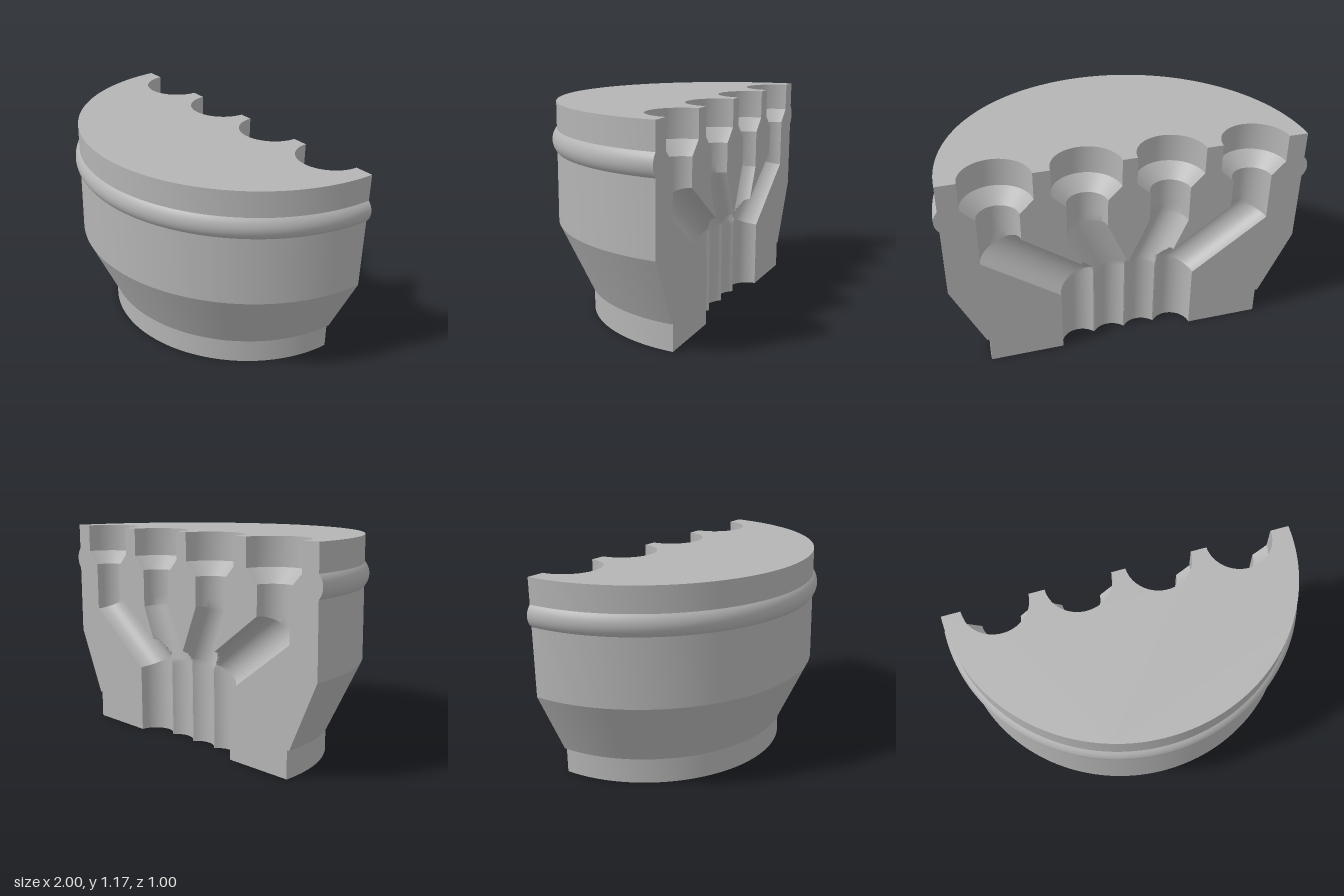
import * as THREE from 'three';
import { toCreasedNormals } from 'three/addons/utils/BufferGeometryUtils.js';

const R = 0.11;          // channel radius
const BORE = 0.185;      // wide socket radius at the top
const TOP = 1.175;
const BACK = -0.5;       // plane of the cut face
const ARC = 28;          // steps around each half channel
const V = (x, y) => new THREE.Vector2(x, y);

// Centre lines of the channels: straight neck, slanted run, straight outlet
const halfPaths = [
  [V(0.685, TOP), V(0.685, 0.73), V(0.267, 0.43), V(0.267, 0)],
  [V(0.225, TOP), V(0.225, 0.76), V(0.089, 0.45), V(0.089, 0)],
];
const mirrorX = (pts) => pts.map((p) => V(-p.x, p.y));
const paths = [...halfPaths, ...halfPaths.map(mirrorX)];

// Mitre direction of travel at a bend
function bend(path, i) {
  const a = path[i].clone().sub(path[i - 1]).normalize();
  const b = path[i + 1].clone().sub(path[i]).normalize();
  const m = a.clone().add(b).normalize();
  return { m, cos: m.dot(a) };
}

// Sideways offset from the centre line to the channel edge at a bend
function edgeOffset(path, i) {
  const { m, cos } = bend(path, i);
  return V(-m.y, m.x).multiplyScalar(R / cos);
}

// Depth of a channel behind the cut face at a point
function depthAt(path, p) {
  let seg = 0;
  for (const i of [1, 2]) if (p.clone().sub(path[i]).dot(bend(path, i).m) > 0) seg = i;
  const d = path[seg + 1].clone().sub(path[seg]).normalize();
  const off = p.clone().sub(path[seg]).cross(d);
  return Math.sqrt(Math.max(0, R * R - off * off));
}

// Half-round channel wall, trimmed where it runs into its neighbours
function channelGeometry(path) {
  const flat = (r) => V(r, 0);
  const cx = path[0].x;
  const keys = [
    { c: path[0], w: flat(BORE), r: BORE, n: 1 },
    { c: V(cx, 1.02), w: flat(BORE), r: BORE, n: 1 },
    { c: V(cx, 0.945), w: flat(R), r: R, n: 4 },
    { c: path[1], w: edgeOffset(path, 1), r: R, n: 40 },
    { c: path[2], w: edgeOffset(path, 2), r: R, n: 24 },
    { c: path[3], w: flat(R), r: R, n: 0 },
  ];
  const rows = [];
  keys.forEach((k, i) => {
    const next = keys[i + 1] || k;
    for (let s = 0; s < Math.max(1, k.n); s++) {
      const t = k.n ? s / k.n : 0;
      rows.push({
        c: k.c.clone().lerp(next.c, t),
        w: k.w.clone().lerp(next.w, t),
        r: k.r + (next.r - k.r) * t,
      });
    }
  });
  const others = paths.filter((q) => q !== path);
  const pos = [], buried = [], index = [];
  for (const { c, w, r } of rows) {
    for (let j = 0; j <= ARC; j++) {
      const a = (Math.PI * j) / ARC;
      const p = c.clone().addScaledVector(w, Math.cos(a));
      const own = r * Math.sin(a);
      const other = c.y < 0.9 ? Math.max(...others.map((q) => depthAt(q, p))) : 0;
      buried.push(other > own + 1e-5);
      pos.push(p.x, p.y, BACK + Math.max(own, other));
    }
  }
  const face = (...f) => { if (!f.every((v) => buried[v])) index.push(...f); };
  for (let i = 0; i < rows.length - 1; i++) {
    for (let j = 0; j < ARC; j++) {
      const a = i * (ARC + 1) + j, c = a + ARC + 1;
      face(a, c, a + 1);
      face(a + 1, c, c + 1);
    }
  }
  const g = new THREE.BufferGeometry();
  g.setAttribute('position', new THREE.Float32BufferAttribute(pos, 3));
  g.setIndex(index);
  return toCreasedNormals(g, 0.35);
}

// Outer profile from the foot up to the rim, with the round bead
function outerProfile() {
  const pts = [V(0.785, 0), V(0.785, 0.15), V(0.8, 0.15), V(0.975, 0.52)];
  const half = 0.06, rise = 0.025;
  const rad = (half * half + rise * rise) / (2 * rise);
  const span = Math.asin(half / rad);
  for (let i = 0; i <= 12; i++) {
    const a = span * (i / 6 - 1);
    pts.push(V(1 - rad + rad * Math.cos(a), 0.97 + rad * Math.sin(a)));
  }
  pts.push(V(0.975, TOP));
  return pts;
}

// Points on a half circle from +x to -x
function halfCircle(cx, r, n) {
  return Array.from({ length: n + 1 }, (_, i) => {
    const a = (Math.PI * i) / n;
    return V(cx + r * Math.cos(a), r * Math.sin(a));
  });
}

// Crossing point of lines a-b and c-d
function crossing(a, b, c, d) {
  const u = b.clone().sub(a), v = d.clone().sub(c);
  return a.clone().addScaledVector(u, c.clone().sub(a).cross(v) / u.cross(v));
}

export function createModel() {
  const group = new THREE.Group();
  const grey = new THREE.MeshStandardMaterial({ color: 0xb4b4b4 });
  grey.name = 'plain grey';
  const add = (name, geometry) => {
    const mesh = new THREE.Mesh(geometry, grey);
    mesh.name = name;
    group.add(mesh);
    return mesh;
  };
  const flatFace = (pts) => new THREE.ShapeGeometry(new THREE.Shape(pts));

  // Half-round outer shell
  const profile = outerProfile();
  const shell = new THREE.LatheGeometry(profile, 80, -Math.PI / 2, Math.PI);
  shell.translate(0, 0, BACK);
  add('outerShell', toCreasedNormals(shell, 0.35));

  // Top face with four socket openings
  const topPts = halfCircle(0, 0.975, 80);
  for (const cx of [-0.685, -0.225, 0.225, 0.685]) {
    topPts.push(...halfCircle(cx, BORE, ARC).reverse());
  }
  const top = flatFace(topPts.map((p) => V(p.x, -p.y)));
  top.rotateX(-Math.PI / 2).translate(0, TOP, BACK);
  add('topFace', top);

  // Bottom face with the scalloped row of outlets
  const bottomPts = halfCircle(0, 0.785, 80);
  const outlets = [-0.267, -0.089, 0.089, 0.267];
  outlets.forEach((cx, i) => {
    for (const p of halfCircle(cx, R, ARC).reverse()) {
      const hidden = (i > 0 && p.x < cx - 0.089) || (i < 3 && p.x > cx + 0.089);
      if (!hidden) bottomPts.push(p);
    }
    if (i < 3) bottomPts.push(V(cx + 0.089, Math.sqrt(R * R - 0.089 * 0.089)));
  });
  const bottom = flatFace(bottomPts);
  bottom.rotateX(Math.PI / 2).translate(0, 0, BACK);
  add('bottomFace', bottom);

  // Channel walls
  paths.forEach((path) => add('channel', channelGeometry(path)));

  // Flat lands of the cut face between the channels
  const corner = (path, i, side) => path[i].clone().addScaledVector(edgeOffset(path, i), side);
  const socketEdge = (cx, s) => [
    V(cx + s * BORE, TOP), V(cx + s * BORE, 1.02), V(cx + s * R, 0.945),
  ];
  const [outer, inner] = halfPaths;
  const sideLand = [
    ...profile, ...socketEdge(0.685, 1),
    corner(outer, 1, 1), corner(outer, 2, 1), V(0.267 + R, 0),
  ];
  const middleLand = [
    ...socketEdge(0.685, -1), corner(outer, 1, -1),
    crossing(corner(outer, 1, -1), corner(outer, 2, -1), corner(inner, 1, 1), corner(inner, 2, 1)),
    corner(inner, 1, 1), ...socketEdge(0.225, 1).reverse(),
  ];
  const innerEdge = [...socketEdge(0.225, -1), corner(inner, 1, -1)];
  const apex = crossing(corner(inner, 1, -1), corner(inner, 2, -1), V(0, 0), V(0, 1));
  const centreLand = [...innerEdge, apex, ...mirrorX(innerEdge).reverse()];
  const lands = [sideLand, mirrorX(sideLand), middleLand, mirrorX(middleLand), centreLand];
  for (const pts of lands) {
    const land = flatFace(mirrorX(pts));
    land.rotateY(Math.PI).translate(0, 0, BACK);
    add('cutFace', land);
  }
  return group;
}
